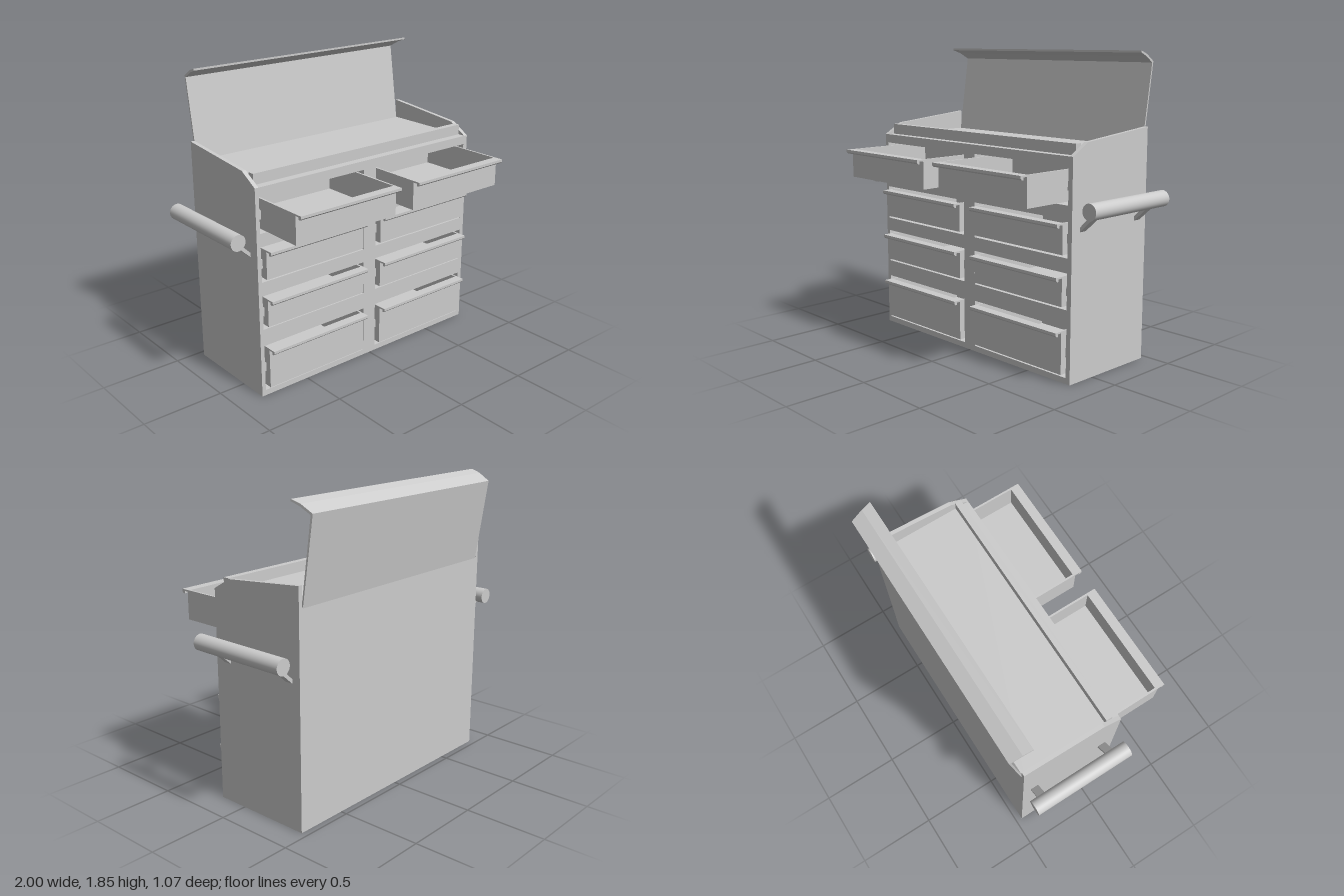
import * as THREE from 'three';

const grey = new THREE.MeshStandardMaterial({ color: 0xcccccc, flatShading: true });
const smooth = new THREE.MeshStandardMaterial({ color: 0xcccccc });

function mesh(name, geometry, material = grey) {
  const m = new THREE.Mesh(geometry, material);
  m.name = name;
  return m;
}

// Box given by its limits on each axis
function box(name, x0, x1, y0, y1, z0, z1) {
  const m = mesh(name, new THREE.BoxGeometry(x1 - x0, y1 - y0, z1 - z0));
  m.position.set((x0 + x1) / 2, (y0 + y1) / 2, (z0 + z1) / 2);
  return m;
}

function outline(points, Type = THREE.Shape) {
  return new Type(points.map(([a, b]) => new THREE.Vector2(a, b)));
}

const rect = (x0, x1, y0, y1) => [[x0, y0], [x1, y0], [x1, y1], [x0, y1]];

// Extrudes a (z, y) profile along x from x0 to x1
function alongX(points, x0, x1) {
  const g = new THREE.ExtrudeGeometry(outline(points), { depth: x1 - x0, bevelEnabled: false });
  g.rotateY(-Math.PI / 2);
  g.translate(x1, 0, 0);
  return g;
}

// Open-topped drawer with a hooked pull along its top edge
function drawer(x0, x1, y0, y1, front) {
  const g = new THREE.Group();
  const back = front - 0.6, t = 0.012;
  g.name = 'drawer';
  g.add(
    box('drawerFloor', x0, x1, y0, y0 + t, back, front - t),
    box('drawerFront', x0, x1, y0, y1, front - t, front),
    box('drawerBack', x0 + t, x1 - t, y0 + t, y1, back, back + t),
    box('drawerSideRight', x0, x0 + t, y0 + t, y1, back, front - t),
    box('drawerSideLeft', x1 - t, x1, y0 + t, y1, back, front - t),
    mesh('drawerPull', alongX([
      [front - t, y1 - 0.01], [front + 0.027, y1 - 0.01], [front + 0.027, y1 - 0.025],
      [front + 0.038, y1 - 0.025], [front + 0.047, y1 - 0.016], [front + 0.047, y1], [front - t, y1],
    ], x0, x1)),
  );
  return g;
}

export function createModel() {
  const model = new THREE.Group();
  model.name = 'toolChest';

  const columns = [[-0.805, -0.05], [0.045, 0.8]];
  const rows = [[0.035, 0.325], [0.43, 0.64], [0.725, 0.94], [1.02, 1.235]];

  // Cabinet block with one compartment per drawer
  const face = outline(rect(-0.81, 0.81, 0, 1.29));
  for (const [x0, x1] of columns) {
    for (const [y0, y1] of rows) face.holes.push(outline(rect(x0, x1, y0, y1), THREE.Path));
  }
  const cabinet = new THREE.ExtrudeGeometry(face, { depth: 0.63, bevelEnabled: false });
  cabinet.translate(0, 0, -0.44);
  model.add(mesh('cabinet', cabinet));
  model.add(box('backPanel', -0.81, 0.81, 0, 1.29, -0.46, -0.44));

  // Side panels rising above the top tray
  const side = [[-0.46, 0], [0.19, 0], [0.19, 1.29], [0.07, 1.36], [-0.46, 1.41]];
  model.add(mesh('sidePanelLeft', alongX(side, 0.805, 0.83)));
  model.add(mesh('sidePanelRight', alongX(side, -0.83, -0.805)));
  model.add(box('trayLip', -0.805, 0.805, 1.285, 1.355, 0.1, 0.14));

  // Drawers, with the top row pulled open, and their slides
  columns.forEach(([x0, x1]) => rows.forEach(([y0, y1], i) => {
    model.add(drawer(x0 + 0.022, x1 - 0.02, y0 + 0.018, y1 - 0.018, i === 3 ? 0.49 : 0.21));
    const mid = (y0 + y1) / 2;
    model.add(box('drawerSlide', x0, x0 + 0.016, mid - 0.027, mid + 0.027, -0.4, 0.18));
    model.add(box('drawerSlide', x1 - 0.014, x1, mid - 0.027, mid + 0.027, -0.4, 0.18));
  }));

  // Raised lid with a bent front edge that flares slightly
  const lid = alongX([
    [-0.46, 1.285], [-0.45, 1.285], [-0.522, 1.777], [-0.455, 1.815], [-0.4, 1.835],
    [-0.4, 1.847], [-0.46, 1.828], [-0.535, 1.785],
  ], -0.8, 0.8);
  const p = lid.attributes.position;
  for (let i = 0; i < p.count; i++) {
    if (p.getY(i) > 1.75) p.setX(i, p.getX(i) * (1 + 0.15 * (p.getZ(i) + 0.535)));
  }
  lid.computeVertexNormals();
  model.add(mesh('lid', lid));

  // Round side handles on slanted brackets
  for (const s of [1, -1]) {
    const handle = new THREE.Group();
    handle.name = s > 0 ? 'sideHandleLeft' : 'sideHandleRight';
    const bar = mesh('handleBar', new THREE.CylinderGeometry(0.048, 0.048, 0.65, 32), smooth);
    bar.rotation.x = Math.PI / 2;
    bar.position.set(s * 0.95, 1.003, -0.135);
    handle.add(bar);
    for (const z of [0.1, -0.38]) {
      const strut = outline([[s * 0.82, 0.858], [s * 0.95, 0.978], [s * 0.94, 1], [s * 0.82, 0.884]]);
      const g = new THREE.ExtrudeGeometry(strut, { depth: 0.05, bevelEnabled: false });
      g.translate(0, 0, z - 0.025);
      handle.add(mesh('handleBracket', g));
    }
    model.add(handle);
  }
  return model;
}
